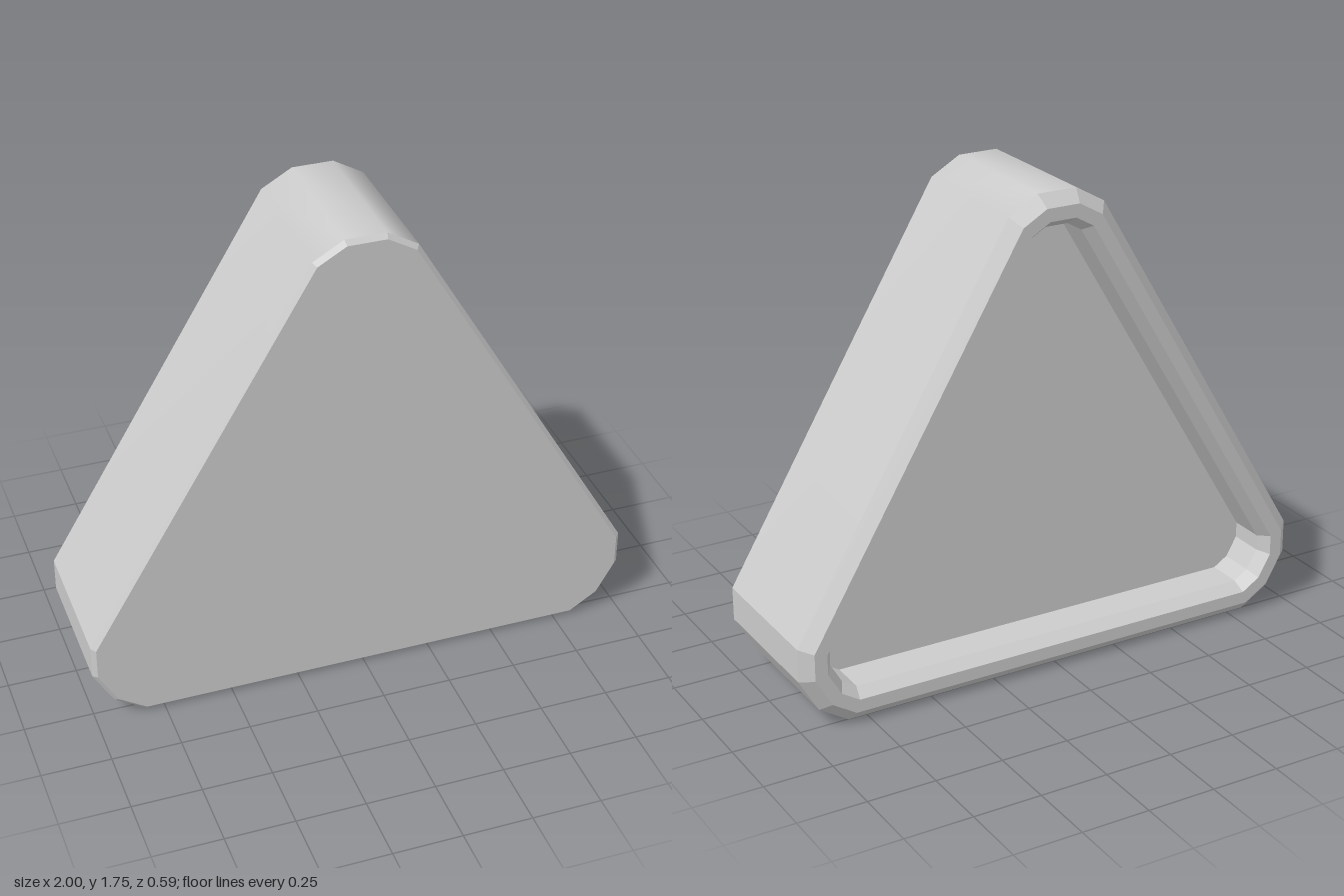
import * as THREE from 'three';

// Right half of the chamfered-corner triangle, bottom to top; mirrored for the left
const half = [[0.82, 0], [0.928, 0.068], [1, 0.193], [1, 0.316], [0.184, 1.69], [0.074, 1.753]];
const outline = [...half, ...half.map(([x, y]) => [-x, y]).reverse()]
  .map(([x, y]) => new THREE.Vector2(x, y));
const N = outline.length;

// Outline moved inward by d with mitred corners
function inset(d) {
  return outline.map((p, i) => {
    const a = p.clone().sub(outline[(i + N - 1) % N]).normalize();
    const b = outline[(i + 1) % N].clone().sub(p).normalize();
    const n1 = new THREE.Vector2(-a.y, a.x);
    const n2 = new THREE.Vector2(-b.y, b.x);
    const m = n1.clone().add(n2);
    return p.clone().addScaledVector(m, d / (1 + n1.dot(n2)));
  });
}

// Band between two rings [inset, z], covering `count` sides from side `start`
function band(from, to, start = 0, count = N) {
  const pos = [], index = [];
  const a = inset(from[0]), b = inset(to[0]);
  for (let k = 0; k <= count; k++) {
    const i = (start + k) % N;
    pos.push(a[i].x, a[i].y, from[1], b[i].x, b[i].y, to[1]);
    if (k < count) {
      const q = 2 * k;
      index.push(q, q + 1, q + 3, q, q + 3, q + 2);
    }
  }
  const g = new THREE.BufferGeometry();
  g.setAttribute('position', new THREE.Float32BufferAttribute(pos, 3));
  g.setIndex(index);
  g.computeVertexNormals();
  return g;
}

export function createModel() {
  const group = new THREE.Group();
  const flat = new THREE.MeshStandardMaterial({ color: 0xcccccc, flatShading: true });
  const smooth = new THREE.MeshStandardMaterial({ color: 0xcccccc });
  const add = (name, geometry, material = flat) => {
    const mesh = new THREE.Mesh(geometry, material);
    mesh.name = name;
    group.add(mesh);
  };

  // Rings from the front face, over the back rim and down into the recess
  const front = [0.016, 0.295], frontEdge = [0, 0.278], backEdge = [0, -0.252];
  const rimOuter = [0.043, -0.295], rimInner = [0.09, -0.295];
  const recessEdge = [0.12, -0.25], floor = [0.12, -0.12];

  // Front plate
  add('frontFace', new THREE.ShapeGeometry(new THREE.Shape(inset(front[0]))).translate(0, 0, front[1]));
  add('frontBevel', band(front, frontEdge));

  // Outer wall: smooth over the top, faceted round the bottom corners
  add('upperWall', band(frontEdge, backEdge, 3, 5), smooth);
  add('lowerWall', band(frontEdge, backEdge, 8, 7));

  // Back rim and recess
  add('backBevel', band(backEdge, rimOuter));
  add('backRim', band(rimOuter, rimInner));
  add('recessBevel', band(rimInner, recessEdge));
  add('recessWall', band(recessEdge, floor));
  add('recessFloor', new THREE.ShapeGeometry(new THREE.Shape(inset(floor[0])))
    .rotateY(Math.PI).translate(0, 0, floor[1]));

  return group;
}
